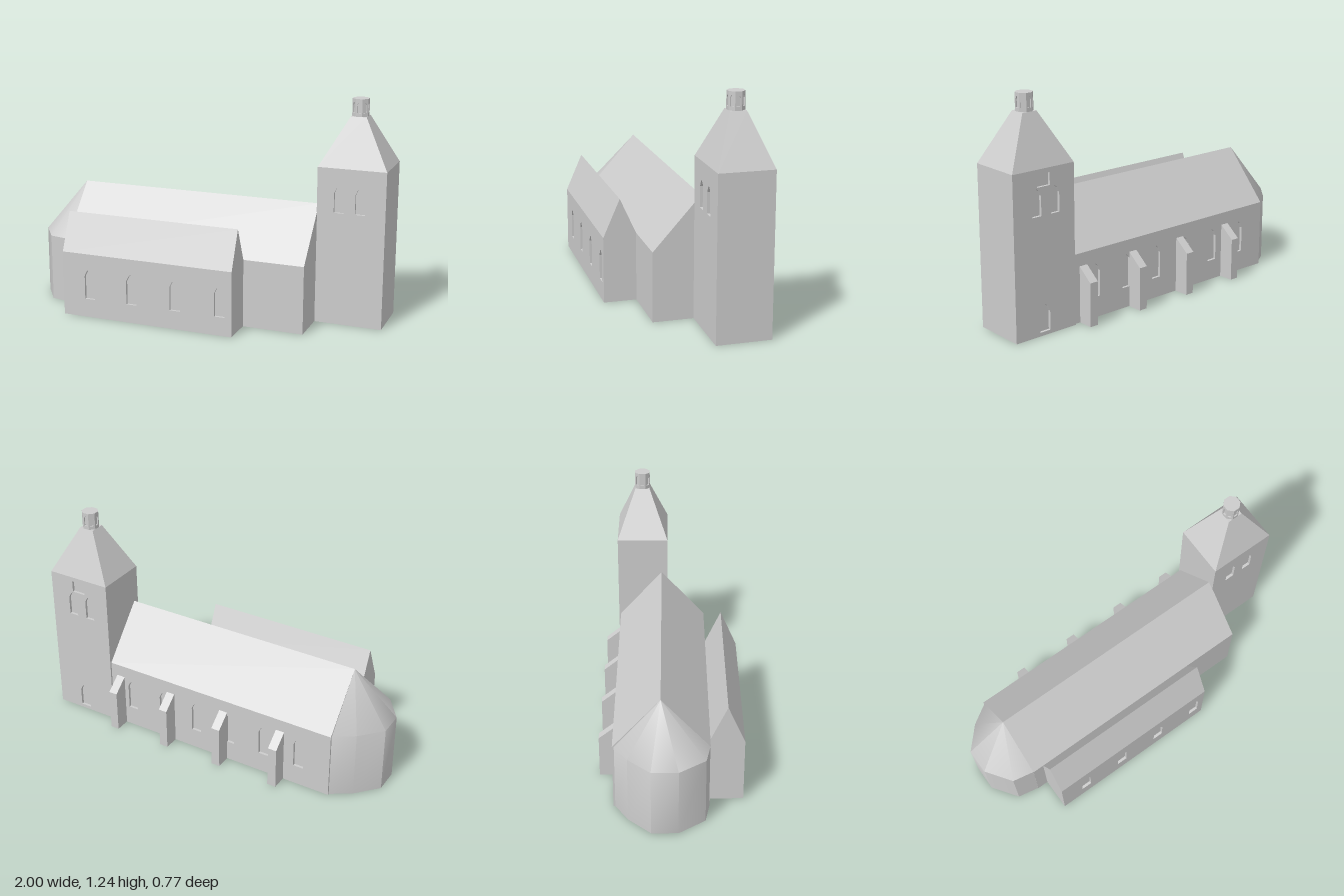
import * as THREE from 'three';
import { toCreasedNormals } from 'three/addons/utils/BufferGeometryUtils.js';

const RECESS = 0.015;

export function createModel() {
  const church = new THREE.Group();
  church.name = 'church';
  const stone = new THREE.MeshStandardMaterial({ color: 0xcccccc });
  stone.name = 'paleStone';

  function add(name, geometry, parent = church) {
    const mesh = new THREE.Mesh(geometry, stone);
    mesh.name = name;
    parent.add(mesh);
    return mesh;
  }

  // Solid with a [z, y] cross-section running from x0 to x1
  function prism(name, profile, x0, x1) {
    const shape = new THREE.Shape(profile.map(([z, y]) => new THREE.Vector2(-z, y)));
    const geometry = new THREE.ExtrudeGeometry(shape, { depth: x1 - x0, bevelEnabled: false });
    geometry.rotateY(Math.PI / 2).translate(x0, 0, 0);
    return add(name, geometry);
  }

  // Pointed opening centred on x, from y0 to the tip at y1
  function pointed(x, y0, y1, w) {
    const h = w / 2, s = y1 - w * 0.7;
    return [[x - h, y0], [x + h, y0], [x + h, s], [x + h * 0.55, y1 - w * 0.25], [x, y1],
      [x - h * 0.55, y1 - w * 0.25], [x - h, s]];
  }

  // Wall skin pierced by openings, extruded towards +z
  function piercedWall(w, y0, y1, openings, depth) {
    const toPoints = (list) => list.map(([x, y]) => new THREE.Vector2(x, y));
    const shape = new THREE.Shape(toPoints([[-w / 2, y0], [w / 2, y0], [w / 2, y1], [-w / 2, y1]]));
    openings.forEach((o) => shape.holes.push(new THREE.Path(toPoints(o))));
    return new THREE.ExtrudeGeometry(shape, { depth, bevelEnabled: false });
  }

  // Wall with its outer face at z; back walls are turned to face -z
  function wall(name, x0, x1, height, z, openings, back = false) {
    const cx = (x0 + x1) / 2, dir = back ? -1 : 1;
    const local = openings.map((o) => o.map(([x, y]) => [(x - cx) * dir, y]));
    if (back) local.forEach((o) => o.reverse());
    const mesh = add(name, piercedWall(x1 - x0, 0, height, local, RECESS));
    mesh.position.set(cx, 0, z - RECESS * dir);
    if (back) mesh.rotation.y = Math.PI;
  }

  // Nave with six windows on its back wall
  prism('nave', [[0.205, 0], [0.205, 0.38], [-0.05, 0.665], [-0.3, 0.38],
    [-0.3 + RECESS, 0.38], [-0.3 + RECESS, 0]], -0.78, 0.625);
  wall('naveBackWall', -0.78, 0.625, 0.38, -0.3,
    [0, 1, 2, 3, 4, 5].map((i) => pointed(0.48 - i * 0.215, 0.115, 0.3, 0.06)), true);

  // Sloped buttresses
  for (const x of [-0.48, -0.125, 0.22, 0.56]) {
    prism('buttress', [[-0.29, 0], [-0.29, 0.318], [-0.385, 0.24], [-0.385, 0]], x - 0.025, x + 0.025);
  }

  // Front aisle with four windows
  prism('aisle', [[0.385 - RECESS, 0], [0.385 - RECESS, 0.365], [0.385, 0.365], [0.293, 0.575],
    [0.205, 0.38], [0.2, 0]], -0.715, 0.285);
  wall('aisleFrontWall', -0.715, 0.285, 0.365, 0.385,
    [-0.553, -0.3, -0.042, 0.217].map((x) => pointed(x, 0.105, 0.28, 0.06)));

  // Rounded apse: walls, half-cone roof and floor
  const outline = [[-0.78, -0.29], [-0.89, -0.22], [-1, -0.1], [-1, 0.04], [-0.9, 0.18], [-0.78, 0.203]];
  const verts = [];
  for (let i = 0; i < outline.length - 1; i++) {
    const [px, pz] = outline[i], [qx, qz] = outline[i + 1];
    const p0 = [px, 0, pz], q0 = [qx, 0, qz], p1 = [px, 0.38, pz], q1 = [qx, 0.38, qz];
    verts.push(...p0, ...q0, ...q1, ...p0, ...q1, ...p1);
    verts.push(...p1, ...q1, -0.78, 0.665, -0.05);
    verts.push(...p0, -0.78, 0, -0.05, ...q0);
  }
  const apse = new THREE.BufferGeometry();
  apse.setAttribute('position', new THREE.Float32BufferAttribute(verts, 3));
  add('apse', toCreasedNormals(apse, 0.66));

  // Tower body and its pierced front and back walls
  const tx = 0.8115, tz = -0.1625, tw = 0.377, td = 0.295, th = 0.875;
  add('towerBody', new THREE.BoxGeometry(tw, th, td - 2 * RECESS)).position.set(tx, th / 2, tz);
  wall('towerFrontWall', tx - tw / 2, tx + tw / 2, th, tz + td / 2,
    [0.745, 0.862].map((x) => pointed(x, 0.63, 0.778, 0.055)));
  wall('towerBackWall', tx - tw / 2, tx + tw / 2, th, tz - td / 2, [
    pointed(0.745, 0.635, 0.778, 0.055), pointed(0.858, 0.635, 0.778, 0.055), pointed(0.82, 0.02, 0.17, 0.065),
    [[0.775, 0.784], [0.855, 0.784], [0.855, 0.85], [0.775, 0.85]],
  ], true);

  // Tapered tower roof
  const roof = new THREE.BoxGeometry(tw, 0.265, td);
  const pos = roof.attributes.position;
  for (let i = 0; i < pos.count; i++) {
    if (pos.getY(i) > 0) {
      pos.setX(i, Math.sign(pos.getX(i)) * 0.043);
      pos.setZ(i, Math.sign(pos.getZ(i)) * 0.043);
    }
  }
  roof.computeVertexNormals();
  add('towerRoof', roof).position.set(tx, th + 0.1325, tz);

  // Eight-sided lantern with an arched niche on each side
  const lantern = new THREE.Group();
  lantern.name = 'lantern';
  lantern.position.set(tx, 1.135, tz);
  church.add(lantern);
  const apothem = 0.043, skin = 0.007, side = 2 * apothem * Math.tan(Math.PI / 8);
  const coreRadius = (apothem - skin) / Math.cos(Math.PI / 8);
  const core = toCreasedNormals(new THREE.CylinderGeometry(coreRadius, coreRadius, 0.1, 8), 0.3);
  core.rotateY(Math.PI / 8).translate(0, 0.05, 0);
  add('lanternCore', core, lantern);
  for (let i = 0; i < 8; i++) {
    const panel = piercedWall(side, 0, 0.1, [pointed(0, 0.025, 0.082, 0.021)], skin);
    panel.translate(0, 0, apothem - skin).rotateY(i * Math.PI / 4);
    add('lanternSide', panel, lantern);
  }

  return church;
}
